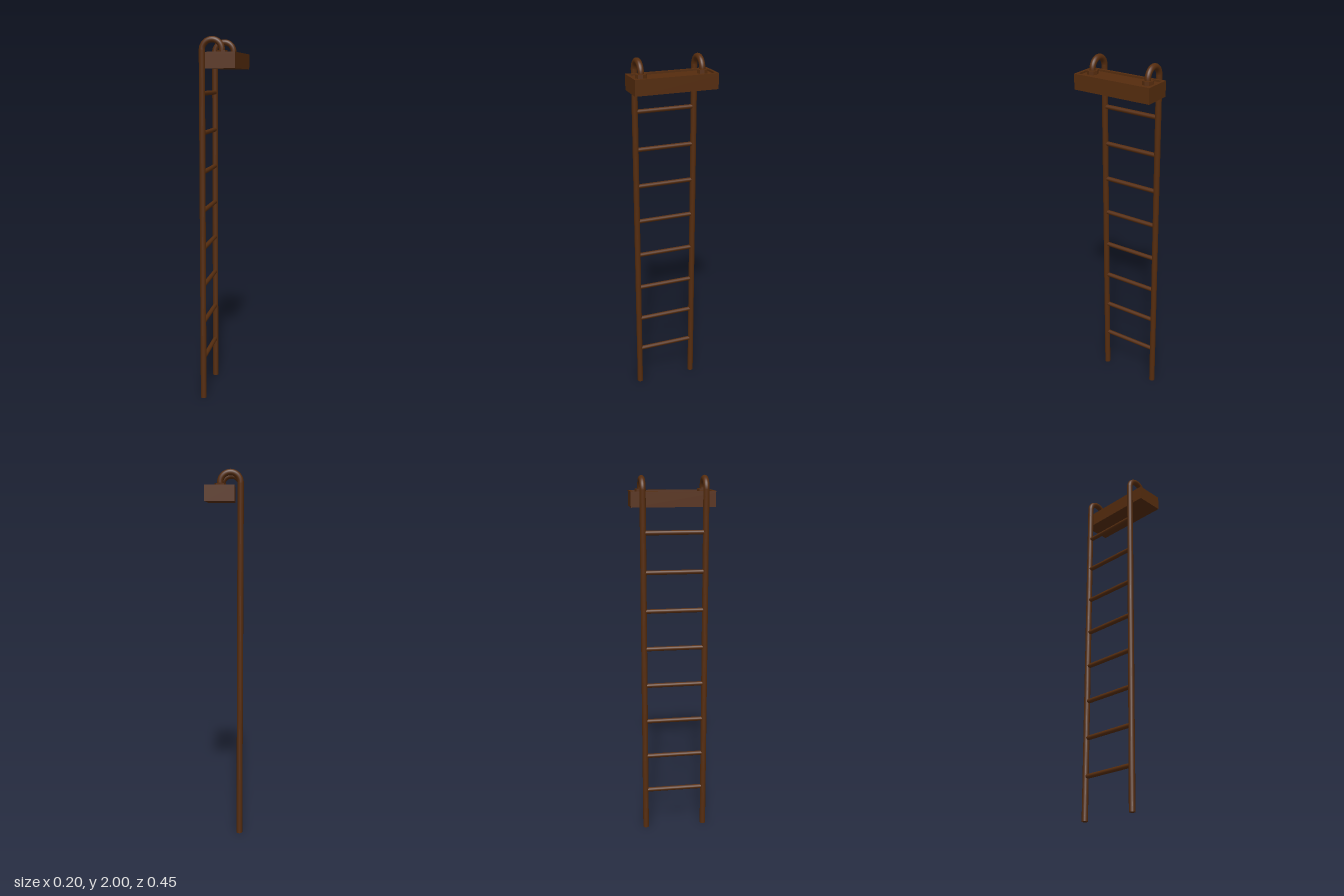
import * as THREE from 'three';

export function createModel() {
  const model = new THREE.Group();
  const brown = new THREE.MeshStandardMaterial({ color: 0x552c0e });
  brown.name = 'brown';

  const add = (name, geometry, x, y, z) => {
    const mesh = new THREE.Mesh(geometry, brown);
    mesh.name = name;
    mesh.position.set(x, y, z);
    model.add(mesh);
    return mesh;
  };

  const poleX = -0.086, hookX = 0.021, poleZ = 0.168, poleR = 0.0165;
  const bendR = (hookX - poleX) / 2, bendY = 2 - poleR - bendR;
  const blockX = 0.023, blockW = 0.156, blockD = 0.454, bottom = 1.835, top = 1.918;
  const rim = 0.015, floorY = 1.908;

  // Mounting block with a raised rim around a shallow recess
  add('mountingBlock', new THREE.BoxGeometry(blockW, floorY - bottom, blockD),
    blockX, (floorY + bottom) / 2, 0);
  for (const s of [-1, 1]) {
    add('longRim', new THREE.BoxGeometry(rim, top - floorY, blockD),
      blockX + s * (blockW - rim) / 2, (top + floorY) / 2, 0);
    add('shortRim', new THREE.BoxGeometry(blockW - 2 * rim, top - floorY, rim),
      blockX, (top + floorY) / 2, s * (blockD - rim) / 2);
  }

  // Side poles that hook over onto the block
  for (const s of [-1, 1]) {
    const z = s * poleZ;
    add('pole', new THREE.CylinderGeometry(poleR, poleR, bendY, 16), poleX, bendY / 2, z);
    add('poleBend', new THREE.TorusGeometry(bendR, poleR, 16, 20, Math.PI),
      (poleX + hookX) / 2, bendY, z);
    add('hookEnd', new THREE.CylinderGeometry(poleR, poleR, bendY - floorY, 16),
      hookX, (bendY + floorY) / 2, z);
    const flange = new THREE.CylinderGeometry(0.03, 0.03, 0.02, 8).toNonIndexed();
    flange.computeVertexNormals();
    add('flange', flange, hookX, floorY + 0.01, z);
  }

  // Rungs
  for (let i = 0; i < 8; i++) {
    add('rung', new THREE.CylinderGeometry(0.0125, 0.0125, poleZ * 2, 12),
      poleX, 0.234 + i * 0.2103, 0).rotation.x = Math.PI / 2;
  }

  return model;
}
